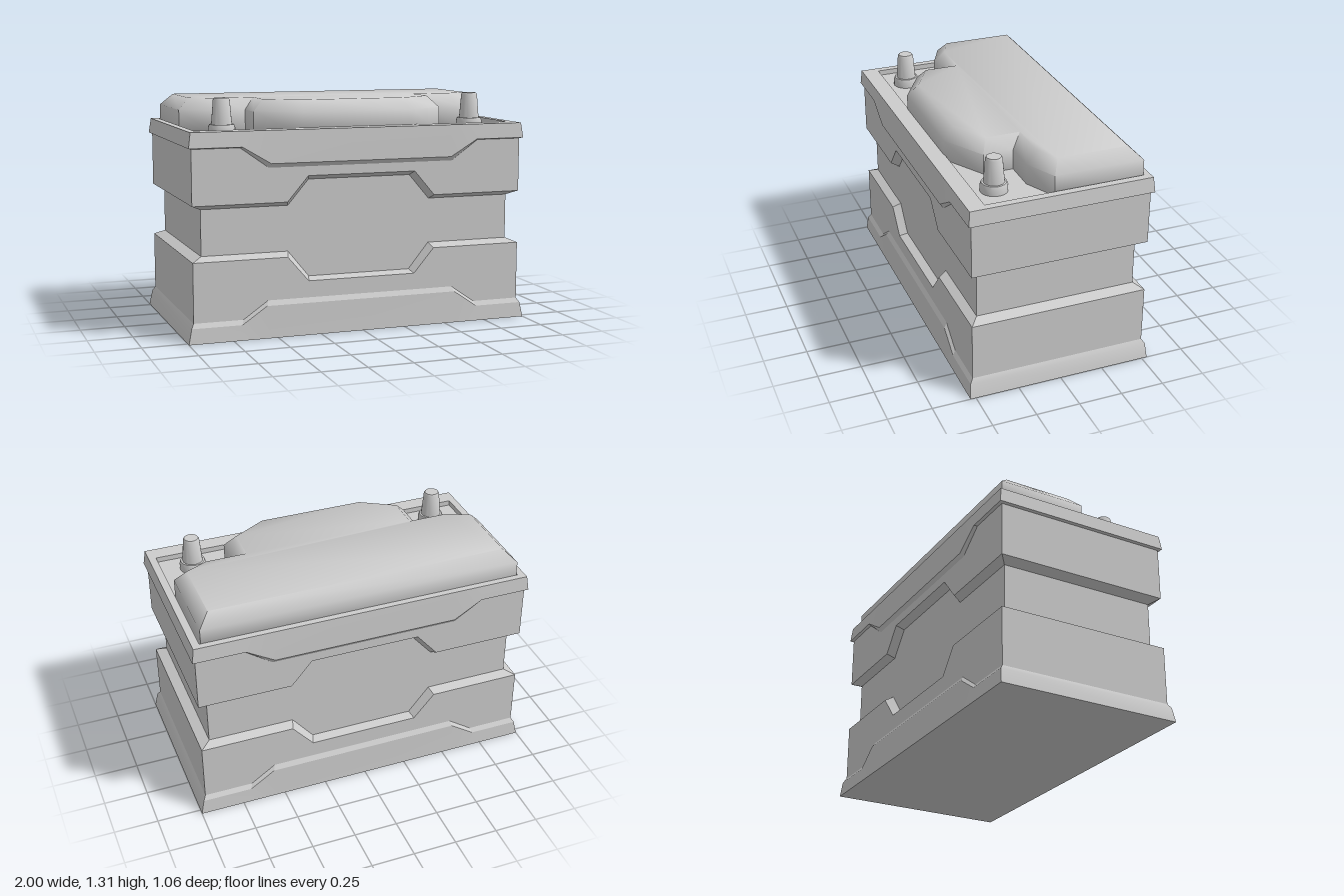
import * as THREE from 'three';
import { toCreasedNormals } from 'three/addons/utils/BufferGeometryUtils.js';

const material = new THREE.MeshStandardMaterial({ color: 0xcccccc });

function addMesh(parent, name, geometry) {
  const mesh = new THREE.Mesh(geometry, material);
  mesh.name = name;
  parent.add(mesh);
  return mesh;
}

// Rectangular ring whose long sides step from ySide to yMid between x = b1 and x = b2
function ring([hx, hz, b1, b2, ySide, yMid, zc = 0]) {
  const xs = [-hx, -b1, -b2, b2, b1, hx];
  const ys = [ySide, ySide, yMid, yMid, ySide, ySide];
  const front = xs.map((x, i) => new THREE.Vector3(x, ys[i], zc + hz));
  const back = xs.map((x, i) => new THREE.Vector3(-x, ys[i], zc - hz));
  return [...front, ...back];
}

// Skin between successive rings; each quad is split along its shorter diagonal
function loft(sections) {
  const rings = sections.map(ring);
  const pos = [];
  for (let r = 0; r < rings.length - 1; r++) {
    const low = rings[r], high = rings[r + 1], n = low.length;
    for (let i = 0; i < n; i++) {
      const j = (i + 1) % n;
      const a = low[i], b = low[j], c = high[j], d = high[i];
      const tris = a.distanceTo(c) < b.distanceTo(d) ? [a, b, c, a, c, d] : [a, b, d, b, c, d];
      tris.forEach((v) => pos.push(v.x, v.y, v.z));
    }
  }
  const geometry = new THREE.BufferGeometry();
  geometry.setAttribute('position', new THREE.Float32BufferAttribute(pos, 3));
  return toCreasedNormals(geometry, 0.4);
}

export function createModel() {
  const group = new THREE.Group();

  // Casing, from the foot up over the rim: hx, hz, b1, b2, ySide, yMid, zc
  addMesh(group, 'casing', loft([
    [1.0, 0.532, 0.70, 0.55, 0, 0],
    [0.982, 0.524, 0.70, 0.56, 0.085, 0.18],
    [0.967, 0.507, 0.69, 0.55, 0.11, 0.207],
    [0.967, 0.507, 0.435, 0.315, 0.44, 0.30],
    [0.91, 0.46, 0.42, 0.30, 0.465, 0.318],
    [0.91, 0.46, 0.42, 0.30, 0.72, 0.86],
    [0.967, 0.507, 0.435, 0.315, 0.745, 0.885],
    [0.967, 0.507, 0.70, 0.54, 1.05, 0.937],
    [0.984, 0.524, 0.69, 0.53, 1.055, 0.96],
    [0.972, 0.516, 0.69, 0.53, 1.14, 1.14],
    [0.93, 0.45, 0.69, 0.53, 1.14, 1.14, -0.03],
    [0.93, 0.45, 0.69, 0.53, 1.11, 1.11, -0.03],
  ]));
  const underside = addMesh(group, 'underside', new THREE.PlaneGeometry(2, 1.064));
  underside.rotation.x = Math.PI / 2;
  const tray = addMesh(group, 'terminalTray', new THREE.PlaneGeometry(1.86, 0.9));
  tray.rotation.x = -Math.PI / 2;
  tray.position.set(0, 1.11, -0.03);

  // Raised cover, notched around the terminals, with softly shaded chamfers
  const half = [[0.922, -0.48], [0.922, 0.03], [0.745, 0.115], [0.56, 0.115], [0.56, 0.285], [0.32, 0.425]];
  const outline = [...half, ...half.map(([x, z]) => [-x, z]).reverse()];
  const bevel = 0.065;
  const coverGeometry = new THREE.ExtrudeGeometry(
    new THREE.Shape(outline.map(([x, z]) => new THREE.Vector2(x, -z))),
    { depth: 0.125, bevelEnabled: true, bevelSegments: 1, bevelSize: bevel, bevelThickness: bevel, bevelOffset: -bevel },
  );
  coverGeometry.rotateX(-Math.PI / 2);
  coverGeometry.translate(0, 1.1, 0);
  coverGeometry.deleteAttribute('uv');
  addMesh(group, 'cover', toCreasedNormals(coverGeometry, 1.0));

  // Terminals: a flanged, tapered post on each side
  const profile = [[0.075, 1.1], [0.075, 1.143], [0.068, 1.162], [0.057, 1.162], [0.046, 1.295], [0.04, 1.306], [0, 1.306]]
    .map(([r, y]) => new THREE.Vector2(r, y));
  for (const [name, side] of [['leftTerminal', 1], ['rightTerminal', -1]]) {
    const post = addMesh(group, name, toCreasedNormals(new THREE.LatheGeometry(profile, 24), 0.6));
    post.position.set(side * 0.745, 0, 0.297);
  }

  return group;
}
